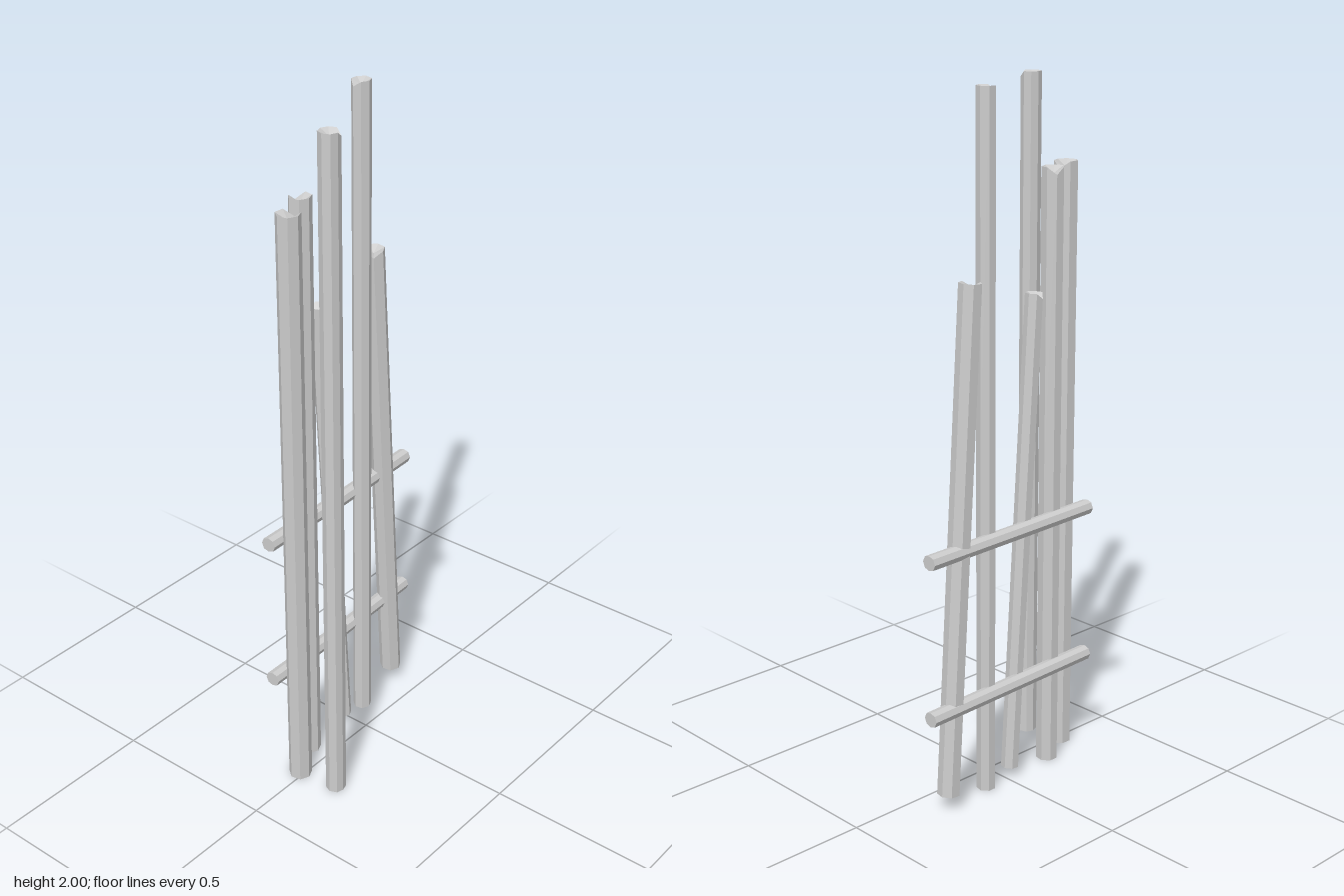
import * as THREE from 'three';

const material = new THREE.MeshStandardMaterial({ color: 0xcccccc, flatShading: true });

// Small repeatable noise in -1..1
function noise(a, b) {
  const s = Math.sin(a * 127.1 + b * 311.7) * 43758.5453;
  return (s - Math.floor(s)) * 2 - 1;
}

// Rough-hewn log between two points, with uneven sides and hollowed ends
function log(name, from, to, { radius, sides = 7, seed = 1, dip = 0.015, bend = [0, 0, 0] }) {
  const a = new THREE.Vector3(...from), b = new THREE.Vector3(...to);
  const axis = b.clone().sub(a), length = axis.length();
  const geo = new THREE.CylinderGeometry(radius, radius, length, sides, 2);
  const pos = geo.attributes.position;
  for (let i = 0; i < pos.count; i++) {
    let x = pos.getX(i), y = pos.getY(i), z = pos.getZ(i);
    const level = Math.round((y / length) * 2);
    if (Math.hypot(x, z) < 1e-6) {
      y -= level * dip;
    } else {
      const side = (Math.round((Math.atan2(x, z) / (2 * Math.PI)) * sides) + sides) % sides;
      const k = 1 + 0.06 * noise(side + 1, seed);
      x *= k;
      z *= k;
      // one corner of the top is chipped down
      if (level === 1 && side === seed % sides) y -= dip;
    }
    pos.setXYZ(i, x, y, z);
  }
  // stand the log along its axis, then bow its middle
  geo.applyQuaternion(new THREE.Quaternion().setFromUnitVectors(new THREE.Vector3(0, 1, 0), axis.normalize()));
  for (let i = 0; i < pos.count; i++) {
    const along = pos.getX(i) * axis.x + pos.getY(i) * axis.y + pos.getZ(i) * axis.z;
    const k = Math.max(0, 1 - Math.abs(along) / (length / 2));
    pos.setXYZ(i, pos.getX(i) + bend[0] * k, pos.getY(i) + bend[1] * k, pos.getZ(i) + bend[2] * k);
  }
  geo.computeVertexNormals();
  const mesh = new THREE.Mesh(geo, material);
  mesh.name = name;
  mesh.position.copy(a.add(b).multiplyScalar(0.5));
  return mesh;
}

export function createModel() {
  const group = new THREE.Group();
  group.name = 'brokenFence';

  // Upright posts
  group.add(
    log('tallFrontPost', [-0.273, 0, 0.109], [-0.273, 2, 0.109], { radius: 0.028, sides: 8, seed: 1 }),
    log('cornerPost', [-0.291, 0, -0.012], [-0.291, 1.765, -0.012], { radius: 0.033, seed: 2, dip: 0.02 }),
    log('leftPost', [-0.184, 0, -0.067], [-0.184, 1.765, -0.067], { radius: 0.032, seed: 3, dip: 0.02 }),
    log('tallBackPost', [0.078, 0, -0.079], [0.078, 2, -0.079], { radius: 0.028, seed: 5 }),
  );

  // Leaning posts
  group.add(
    log('leaningMiddlePost', [-0.022, 0.03, -0.072], [-0.106, 1.43, -0.074], { radius: 0.026, seed: 4 }),
    log('leaningRightPost', [0.243, 0.047, -0.097], [0.155, 1.5, -0.099], { radius: 0.032, seed: 6 }),
  );

  // Cross rails behind the posts
  for (const [name, y] of [['lowerRail', 0.308], ['upperRail', 0.767]]) {
    group.add(log(name, [-0.309, y + 0.003, -0.096], [0.323, y, -0.115],
      { radius: 0.022, sides: 8, seed: 7, dip: 0, bend: [0, -0.002, 0.003] }));
  }
  return group;
}
